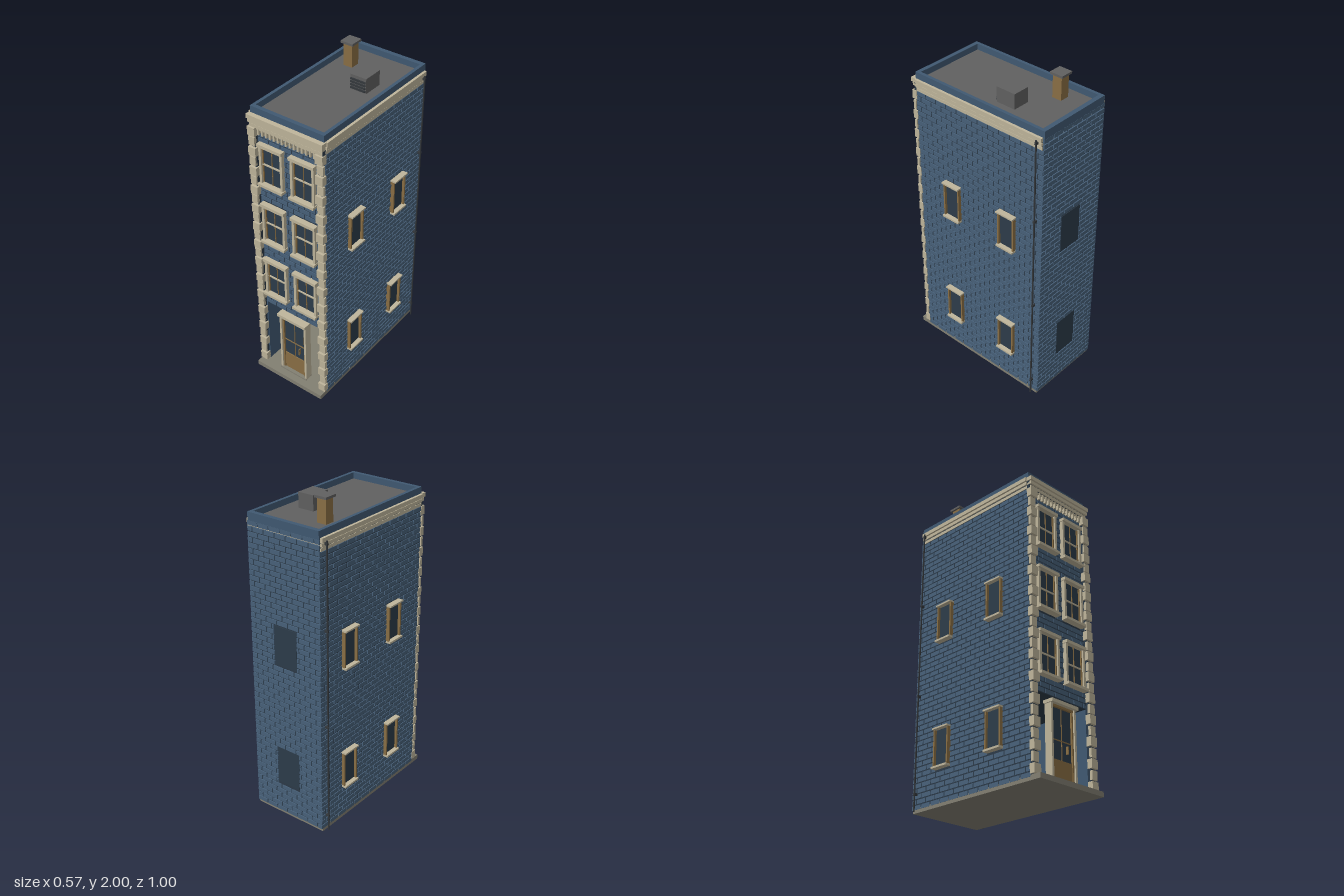
import * as THREE from 'three';
import { mergeGeometries } from 'three/addons/utils/BufferGeometryUtils.js';

const material = (name, color) => Object.assign(new THREE.MeshStandardMaterial({ color }), { name });
const M = {
  brick: material('blue brick', 0x48617a),
  plain: material('blue plaster', 0x405972),
  mortar: material('dark mortar', 0x2c3a48),
  cream: material('cream stone', 0xbfb59b),
  stone: material('grey stone', 0x827f72),
  wood: material('brown wood', 0x8a6f45),
  glass: material('dark glass', 0x2d3c4a),
  roof: material('grey roofing', 0x606060),
  iron: material('dark iron', 0x34383c),
};

// Box geometry given by its limits on each axis
function boxGeo(x0, x1, y0, y1, z0, z1) {
  return new THREE.BoxGeometry(x1 - x0, y1 - y0, z1 - z0)
    .translate((x0 + x1) / 2, (y0 + y1) / 2, (z0 + z1) / 2);
}

function box(parent, name, mat, ...limits) {
  const mesh = new THREE.Mesh(boxGeo(...limits), mat);
  mesh.name = name;
  parent.add(mesh);
  return mesh;
}

function subGroup(parent, name) {
  const g = new THREE.Group();
  g.name = name;
  parent.add(g);
  return g;
}

// Running-bond bricks on a wall facing +z; holes are [x0, x1, y0, y1]
function brickWall(parent, name, x0, x1, y0, y1, holes) {
  const rows = Math.round((y1 - y0) / 0.032), pitch = (y1 - y0) / rows;
  const length = 0.078, gap = 0.007, geos = [];
  for (let r = 0; r < rows; r++) {
    const bottom = y0 + r * pitch, mid = bottom + pitch / 2;
    const cuts = holes.filter(h => mid > h[2] && mid < h[3]);
    for (let x = x0 - (r % 2 ? length / 2 : 0); x < x1; x += length) {
      let spans = [[Math.max(x, x0), Math.min(x + length - gap, x1)]];
      for (const h of cuts) {
        spans = spans.flatMap(([a, b]) => [[a, Math.min(b, h[0])], [Math.max(a, h[1]), b]]);
      }
      for (const [a, b] of spans) {
        if (b - a > 0.006) geos.push(boxGeo(a, b, bottom, bottom + pitch - gap, -0.004, 0.004));
      }
    }
  }
  const mesh = new THREE.Mesh(mergeGeometries(geos), M.brick);
  mesh.name = name;
  parent.add(mesh);
  return mesh;
}

// Front sash window centred on x = 0, standing on y = 0, wall surface at z = 0
function frontWindow() {
  const g = new THREE.Group();
  g.name = 'frontWindow';
  box(g, 'windowGlass', M.glass, -0.07, 0.07, 0.01, 0.26, -0.01, 0.006);
  for (const s of [-1, 1]) {
    const jamb = box(g, 'windowJamb', M.cream, -0.008, 0.008, 0.01, 0.255, -0.01, 0.025);
    jamb.position.x = s * 0.073;
    const stile = box(g, 'sashStile', M.wood, -0.003, 0.003, 0.02, 0.25, 0, 0.014);
    stile.position.x = s * 0.062;
  }
  box(g, 'windowLintel', M.cream, -0.085, 0.085, 0.253, 0.272, -0.01, 0.036);
  box(g, 'windowSill', M.cream, -0.085, 0.085, 0, 0.016, -0.01, 0.042);
  box(g, 'meetingRail', M.cream, -0.066, 0.066, 0.132, 0.14, 0, 0.014);
  box(g, 'glazingBar', M.wood, -0.002, 0.002, 0.016, 0.253, 0, 0.011);
  return g;
}

// Side window in the same local frame, with a boxed wooden surround
function sideWindow() {
  const g = new THREE.Group();
  g.name = 'sideWindow';
  box(g, 'windowGlass', M.glass, -0.055, 0.055, 0.01, 0.235, -0.01, 0.005);
  for (const s of [-1, 1]) {
    const jamb = box(g, 'windowJamb', M.wood, -0.005, 0.005, 0.01, 0.235, -0.01, 0.021);
    jamb.position.x = s * 0.055;
  }
  box(g, 'windowLintel', M.cream, -0.062, 0.062, 0.233, 0.243, -0.01, 0.033);
  box(g, 'windowSill', M.cream, -0.062, 0.062, 0, 0.012, -0.01, 0.033);
  return g;
}

export function createModel() {
  const model = new THREE.Group();
  model.name = 'townhouse';

  // Base slab and hollow shell, open at the front of the ground floor
  box(model, 'baseSlab', M.stone, -0.25, 0.25, 0, 0.03, -0.49, 0.5);
  const shell = subGroup(model, 'shell');
  box(shell, 'upperStoreys', M.mortar, -0.246, 0.246, 0.51, 1.8, -0.493, 0.43);
  box(shell, 'rearWall', M.mortar, -0.246, 0.246, 0.02, 0.51, -0.493, -0.462);
  box(shell, 'rearLining', M.plain, -0.21, 0.21, 0.03, 0.51, -0.465, -0.456);
  for (const s of [-1, 1]) {
    const wall = box(shell, 'sideWall', M.mortar, -0.018, 0.018, 0.02, 0.51, -0.47, 0.43);
    wall.position.x = s * 0.228;
    const lining = box(shell, 'sideLining', M.plain, -0.004, 0.004, 0.03, 0.51, -0.46, 0.431);
    lining.position.x = s * 0.208;
  }

  // Brickwork and windows on both sides
  const sideLevels = [0.22, 1.01], sideZ = [0.17, -0.25];
  for (const s of [-1, 1]) {
    const side = subGroup(model, s > 0 ? 'leftSide' : 'rightSide');
    side.rotation.y = s * Math.PI / 2;
    side.position.x = s * 0.247;
    const holes = [];
    for (const y of sideLevels) for (const z of sideZ) {
      holes.push([-s * z - 0.06, -s * z + 0.06, y, y + 0.243]);
      const w = sideWindow();
      w.position.set(-s * z, y, 0.003);
      side.add(w);
    }
    const ends = [-s * -0.497, -s * 0.435].sort((a, b) => a - b);
    brickWall(side, 'sideBricks', ends[0], ends[1], 0.02, 1.77, holes);
  }

  // Back wall with two plain panes
  const back = subGroup(model, 'back');
  back.rotation.y = Math.PI;
  back.position.z = -0.495;
  brickWall(back, 'backBricks', -0.25, 0.25, 0.02, 1.84, sideLevels.map(y => [-0.083, 0.083, y, y + 0.25]));
  for (const y of sideLevels) box(back, 'backPane', M.glass, -0.08, 0.08, y + 0.005, y + 0.245, -0.004, 0.002);

  // Front brickwork and three floors of paired windows
  const front = subGroup(model, 'front');
  front.position.z = 0.43;
  const frontHoles = [];
  for (const y of [0.605, 1.005, 1.405]) for (const x of [-0.108, 0.108]) {
    frontHoles.push([x - 0.08, x + 0.08, y, y + 0.27]);
    const w = frontWindow();
    w.position.set(x, y, 0);
    front.add(w);
  }
  brickWall(front, 'frontBricks', -0.205, 0.205, 0.515, 1.77, frontHoles);

  // Corner quoins of alternating size
  const quoins = subGroup(model, 'quoins');
  const count = 27, step = 1.74 / count;
  for (const s of [-1, 1]) {
    box(quoins, 'quoinBacking', M.mortar, s > 0 ? 0.212 : -0.246, s > 0 ? 0.246 : -0.212, 0.03, 1.77, 0.42, 0.448);
    for (let i = 0; i < count; i++) {
      const inner = i % 2 ? 0.212 : 0.204, y = 0.03 + i * step;
      const q = [inner, 0.254].map(v => v * s).sort((a, b) => a - b);
      box(quoins, 'quoin', M.cream, q[0], q[1], y + 0.005, y + step - 0.005, i % 2 ? 0.44 : 0.43, i % 2 ? 0.458 : 0.464);
    }
  }

  // Entrance door with glazed upper part
  const door = subGroup(model, 'door');
  door.position.z = 0.42;
  box(door, 'doorPanel', M.wood, -0.085, 0.085, 0.035, 0.16, -0.01, 0.012);
  box(door, 'doorGlass', M.glass, -0.085, 0.085, 0.16, 0.465, -0.006, 0.006);
  for (const s of [-1, 1]) {
    const post = box(door, 'doorPost', M.cream, -0.007, 0.007, 0.03, 0.47, -0.02, 0.028);
    post.position.x = s * 0.093;
    const stile = box(door, 'doorStile', M.wood, -0.005, 0.005, 0.035, 0.465, -0.012, 0.018);
    stile.position.x = s * 0.081;
  }
  box(door, 'doorMullion', M.wood, -0.002, 0.002, 0.16, 0.465, -0.009, 0.01);
  box(door, 'doorRail', M.wood, -0.08, 0.08, 0.268, 0.274, -0.009, 0.01);
  box(door, 'doorHead', M.wood, -0.088, 0.088, 0.455, 0.468, -0.012, 0.02);
  box(door, 'doorLintel', M.cream, -0.106, 0.106, 0.468, 0.488, -0.024, 0.043);
  box(door, 'doorStep', M.stone, -0.1, 0.1, 0.03, 0.038, -0.02, 0.035);
  box(door, 'doorHandle', M.wood, 0.036, 0.042, 0.205, 0.25, 0.005, 0.022);

  // Stepped cornice on the front and sides, with dentils below
  const cornice = subGroup(model, 'cornice');
  [[1.767, 1.786, 0.253, 0.455], [1.792, 1.812, 0.258, 0.461], [1.817, 1.842, 0.263, 0.467]].forEach(([y0, y1, x, z]) => {
    box(cornice, 'corniceBand', M.cream, -x, x, y0, y1, -0.488, 0.43);
    box(cornice, 'corniceFront', M.cream, -x + 0.008, x - 0.008, y0, y1, 0.42, z);
  });
  box(cornice, 'corniceCore', M.mortar, -0.25, 0.25, 1.765, 1.84, -0.487, 0.45);
  for (let i = 0; i < 15; i++) {
    const x = -0.189 + i * 0.027;
    box(cornice, 'dentil', M.cream, x - 0.006, x + 0.006, 1.725, 1.768, 0.425, 0.45);
  }
  box(cornice, 'dentilRail', M.cream, -0.205, 0.205, 1.755, 1.768, 0.425, 0.447);

  // Roof deck and parapet
  const roof = subGroup(model, 'roof');
  box(roof, 'roofDeck', M.roof, -0.235, 0.235, 1.8, 1.845, -0.485, 0.42);
  for (const s of [-1, 1]) {
    const wall = box(roof, 'parapetSide', M.plain, -0.01, 0.01, 1.82, 1.882, -0.498, 0.437);
    wall.position.x = s * 0.237;
  }
  box(roof, 'parapetFront', M.plain, -0.23, 0.23, 1.82, 1.882, 0.412, 0.437);
  box(roof, 'parapetBack', M.plain, -0.23, 0.23, 1.82, 1.882, -0.498, -0.47);

  // Chimney and louvred ventilation unit
  box(roof, 'chimney', M.wood, -0.154, -0.094, 1.83, 1.988, -0.323, -0.262);
  box(roof, 'chimneyCap', M.roof, -0.165, -0.083, 1.986, 2, -0.335, -0.25);
  box(roof, 'ventUnit', M.roof, 0.034, 0.14, 1.84, 1.937, -0.2, -0.073);
  for (let i = 0; i < 4; i++) {
    const y = 1.853 + i * 0.018;
    box(roof, 'ventSlat', M.iron, 0.038, 0.136, y, y + 0.011, -0.075, -0.066);
  }

  // Drainpipes near the back corners
  for (const s of [-1, 1]) {
    const pipe = subGroup(model, 'drainpipe');
    pipe.position.set(s * 0.27, 0, -0.46);
    const tube = new THREE.Mesh(new THREE.CylinderGeometry(0.005, 0.005, 1.82, 8).translate(0, 0.915, 0), M.iron);
    tube.name = 'pipe';
    pipe.add(tube);
    for (const y of [0.1, 0.7, 1.3, 1.8]) {
      const b = box(pipe, 'pipeBracket', M.iron, -0.017, 0.006, y, y + 0.014, -0.006, 0.006);
      b.rotation.y = s > 0 ? 0 : Math.PI;
    }
  }
  return model;
}
